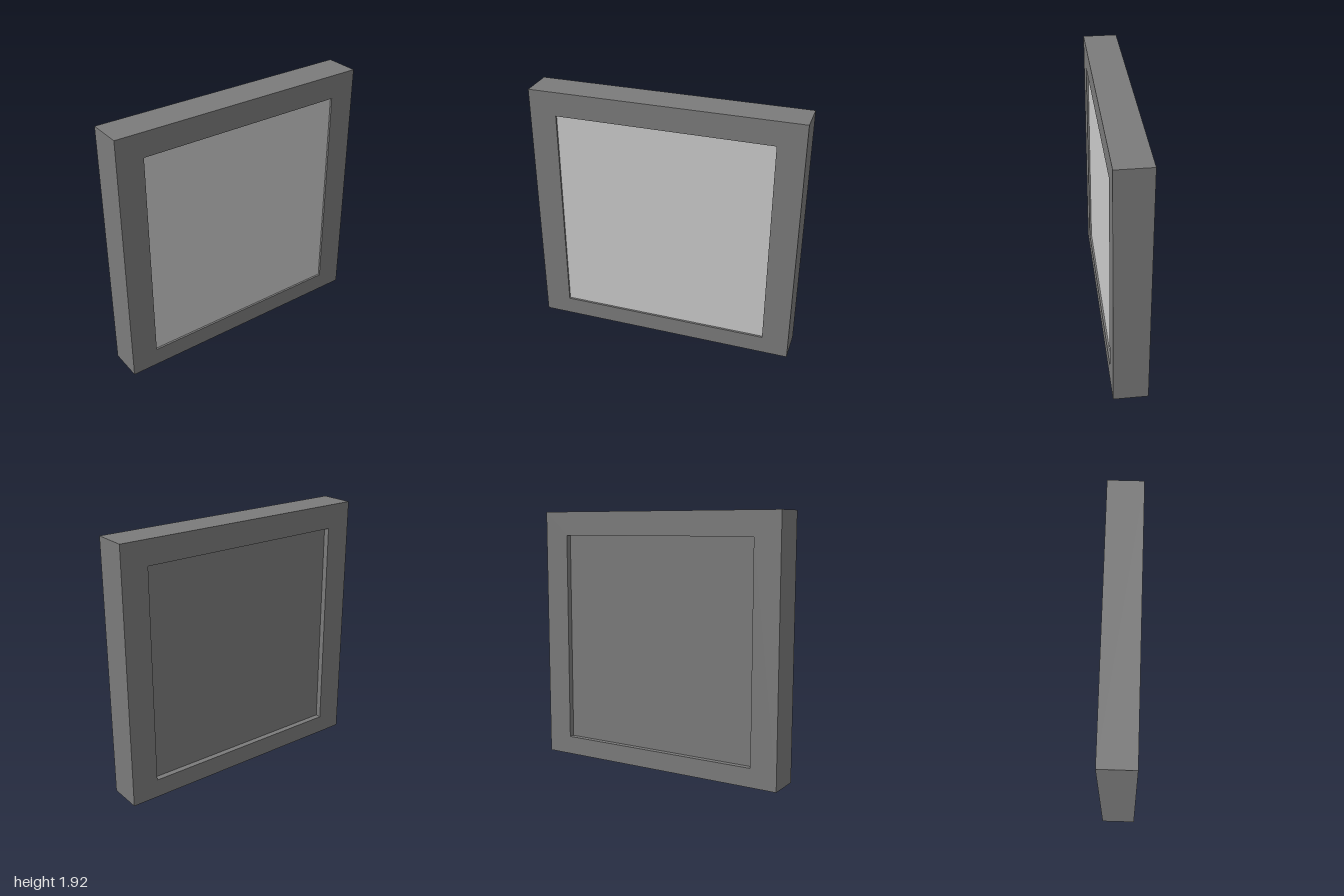
import * as THREE from 'three';

const W = 2, H = 1.925, D = 0.256; // outer size
const open = { x: 0.8, y0: 0.14, y1: 1.745 }; // opening
const FRONT_Z = 0.113, BACK_Z = -0.085; // recessed faces inside the opening

function rectangle(target, x, y0, y1) {
  target.moveTo(-x, y0);
  target.lineTo(x, y0);
  target.lineTo(x, y1);
  target.lineTo(-x, y1);
  target.closePath();
  return target;
}

export function createModel() {
  const group = new THREE.Group();
  group.name = 'framedPanel';
  const dark = new THREE.MeshStandardMaterial({ color: 0x7b7b7b });
  const light = new THREE.MeshStandardMaterial({ color: 0xcccccc });

  const add = (name, geometry, material, y, z) => {
    const mesh = new THREE.Mesh(geometry, material);
    mesh.name = name;
    mesh.position.set(0, y, z);
    group.add(mesh);
  };

  // Square-edged surround with a rectangular opening
  const outline = rectangle(new THREE.Shape(), W / 2, 0, H);
  outline.holes.push(rectangle(new THREE.Path(), open.x, open.y0, open.y1));
  add('frame', new THREE.ExtrudeGeometry(outline, { depth: D, bevelEnabled: false }), dark, 0, -D / 2);

  // Light pane just behind the front edge, dark backing set deeper at the rear
  const w = open.x * 2, h = open.y1 - open.y0, midY = (open.y0 + open.y1) / 2;
  const paneDepth = 0.02, backDepth = FRONT_Z - paneDepth - BACK_Z;
  add('frontPane', new THREE.BoxGeometry(w, h, paneDepth), light, midY, FRONT_Z - paneDepth / 2);
  add('backPanel', new THREE.BoxGeometry(w, h, backDepth), dark, midY, BACK_Z + backDepth / 2);

  return group;
}
